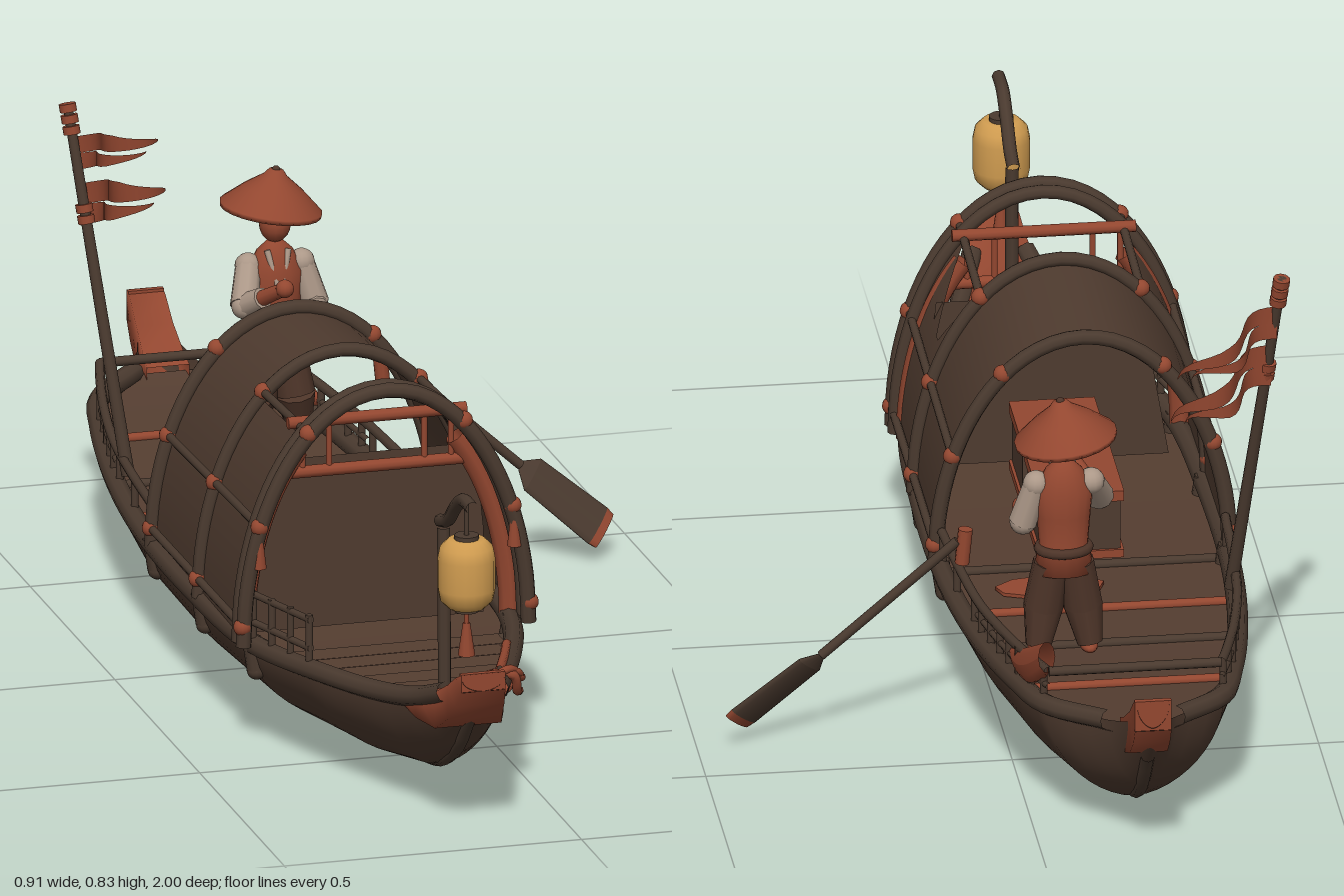
import * as THREE from 'three';

const V = (x, y, z) => new THREE.Vector3(x, y, z);
const mat = (name, color, side = THREE.FrontSide) => {
  const m = new THREE.MeshStandardMaterial({ color, side });
  m.name = name;
  return m;
};

// Hull stations: z, half width, gunwale height, keel height
const STATIONS = [
  [1, .035, .285, .265], [.93, .045, .245, .2], [.85, .07, .215, .115], [.75, .105, .195, .06],
  [.6, .165, .185, .03], [.4, .222, .175, .015], [.1, .24, .175, .002], [-.2, .238, .18, 0],
  [-.45, .215, .19, .01], [-.65, .18, .205, .025], [-.77, .145, .215, .045], [-.86, .058, .225, .1],
  [-.93, .03, .25, .18], [-1, .026, .31, .27]];

function station(z) {
  const i = Math.max(1, STATIONS.findIndex(s => s[0] <= z));
  const a = STATIONS[i - 1], b = STATIONS[i], t = (a[0] - z) / (a[0] - b[0]);
  return a.map((v, k) => v + (b[k] - v) * t);
}

// Surface grid from a point function f(u, v)
function grid(nu, nv, f) {
  const pos = [], idx = [];
  for (let i = 0; i <= nu; i++) for (let j = 0; j <= nv; j++) pos.push(...f(i / nu, j / nv));
  for (let i = 0; i < nu; i++) for (let j = 0; j < nv; j++) {
    const a = i * (nv + 1) + j, b = a + nv + 1;
    idx.push(a, b, a + 1, b, b + 1, a + 1);
  }
  const g = new THREE.BufferGeometry();
  g.setAttribute('position', new THREE.Float32BufferAttribute(pos, 3));
  g.setIndex(idx);
  g.computeVertexNormals();
  return g;
}

export function createModel() {
  const root = new THREE.Group();
  root.name = 'riverBoat';
  const boat = new THREE.Group();
  boat.name = 'boat';
  boat.position.x = -.165;
  root.add(boat);

  const wood = mat('hullWood', 0x4f3b2f, THREE.DoubleSide);
  const plank = mat('deckWood', 0x553e31, THREE.DoubleSide);
  const trim = mat('darkTimber', 0x4a3a2f);
  const red = mat('redLacquer', 0x934730, THREE.DoubleSide);
  const gold = mat('lanternPaper', 0xd09c50);
  const pale = mat('paleCloth', 0xac9888);
  const pants = mat('trouserCloth', 0x4e3529);

  const add = (name, geo, m, p = V(0, 0, 0)) => {
    const mesh = new THREE.Mesh(geo, m);
    mesh.name = name;
    mesh.position.copy(p);
    boat.add(mesh);
    return mesh;
  };
  const box = (name, m, x, y, z, w, h, d) => add(name, new THREE.BoxGeometry(w, h, d), m, V(x, y, z));
  const ball = (name, m, p, r, sx = 1, sy = 1, sz = 1) => {
    const b = add(name, new THREE.SphereGeometry(r, 14, 10), m, p);
    b.scale.set(sx, sy, sz);
    return b;
  };
  const rod = (name, m, a, b, r, r2 = r) => {
    const d = b.clone().sub(a);
    const c = add(name, new THREE.CylinderGeometry(r2, r, d.length(), 10), m, a.clone().add(b).multiplyScalar(.5));
    c.quaternion.setFromUnitVectors(V(0, 1, 0), d.normalize());
    return c;
  };
  const tube = (name, m, pts, r, n = 32) =>
    add(name, new THREE.TubeGeometry(new THREE.CatmullRomCurve3(pts), n, r, 8), m);
  const side = (s, z, dy = 0, k = 1) => { const q = station(z); return V(s * q[1] * k, q[2] + dy, z); };

  // Hull and keel
  add('hull', grid(60, 24, (u, v) => {
    const [z, w, top, low] = station(1 - 2 * u), t = (v - .5) * Math.PI;
    return [w * Math.sin(t), low + (top - low) * (1 - Math.cos(t)) ** .88, z];
  }), wood);
  tube('keel', trim, STATIONS.slice(1, -1).map(q => V(0, q[3] + .01, q[0])), .012, 50);

  // Deck, floor boards and cross beams
  add('deck', grid(40, 1, (u, v) => {
    const [z, w, top] = station(.88 - 1.76 * u);
    return [w * .97 * (2 * v - 1), top - .02, z];
  }), plank);
  for (let z = .72; z > .43; z -= .06) {
    const q = station(z);
    box('floorBoard', plank, 0, q[2] - .012, z, q[1] * 1.8, .014, .05);
  }
  for (const [z, m] of [[.44, trim], [-.12, trim], [-.3, red], [-.45, trim], [-.64, red]]) {
    const q = station(z);
    rod('crossBeam', m, V(-q[1] * .95, q[2] - .017, z), V(q[1] * .95, q[2] - .017, z), .008);
  }
  const rug = add('rug', new THREE.CylinderGeometry(.09, .09, .006, 9), red, V(.065, .166, -.207));
  rug.scale.z = .45;

  // Red end pieces: z, half width, top, bottom
  const endPiece = (name, rows) => add(name, grid(rows.length - 1, 4, (u, v) => {
    const [z, w, t, b] = rows[Math.round(u * (rows.length - 1))];
    const k = Math.round(v * 4) % 4;
    return [k === 0 || k === 3 ? w : -w, k < 2 ? t : b, z];
  }), red);
  endPiece('bowPiece', [[1, .037, .295, .265], [.98, .041, .285, .235], [.95, .046, .264, .205],
    [.91, .056, .24, .178], [.86, .074, .225, .182], [.8, .086, .208, .195]]);
  endPiece('sternPiece', [[-.86, .036, .228, .2], [-.89, .034, .242, .18], [-.94, .031, .274, .2],
    [-.98, .03, .308, .235], [-1, .03, .317, .265]]);
  box('bowFace', red, 0, .28, .994, .074, .03, .01);
  box('sternFace', red, 0, .291, -.994, .06, .052, .01);

  // Gunwales, rails and fenders
  for (const s of [1, -1]) {
    tube('gunwale', trim, STATIONS.slice(1, -2).map(q => V(s * q[1] * .975, q[2], q[0])), .017, 60);
    tube('sternRail', trim, [-.13, -.3, -.45, -.6, -.72, -.77].map(z => side(s, z, .06, .97)), .008);
    tube('sternMidRail', trim, [-.42, -.55, -.68, -.77].map(z => side(s, z, .033, .97)), .005);
    for (let z = -.14; z > -.78; z -= z > -.4 ? .13 : .05)
      rod('railPost', trim, side(s, z, 0, .97), side(s, z, .062, .97), .006);
    for (const z of [.4, .15, -.13]) {
      rod('fender', trim, side(s, z, -.045, .95), side(s, z, .01, .985), .016);
      ball('fenderTip', trim, side(s, z, -.045, .95), .016);
    }
  }
  rod('sternEndRail', trim, side(1, -.77, .06, .97), side(-1, -.77, .06, .97), .008);
  for (const dy of [.04, .088]) rod('bowSideRail', trim, side(-1, .4, dy), side(-1, .58, dy - .004), .006);
  for (const z of [.41, .465, .52, .575]) rod('bowRailPost', trim, side(-1, z), side(-1, z, .092), .006);

  // Cabin arch: rear roof and side panels of the open front bay
  const height = z => .385 + (z + .12) * .055;
  const arch = (t, z, k = 1) => V(.24 * k * Math.cos(t), .18 + height(z) * k * Math.sin(t), z);
  const archPts = (z, k, a, b) => Array.from({ length: 17 }, (_, i) => arch(a + (b - a) * i / 16, z, k));
  add('cabinRoof', grid(6, 32, (u, v) => arch(Math.PI * v, -.11 + .27 * u, .98).toArray()), wood);
  const cutLeft = z => .6 + (z > .24 ? (z - .24) * 2.8 : (.24 - z) * 5.6);
  const cutRight = () => .98;
  for (const [s, cut] of [[1, cutLeft], [-1, cutRight]]) {
    add('cabinSidePanel', grid(16, 12, (u, v) => {
      const z = .16 + .24 * u, p = arch(cut(z) * v, z, .98);
      return [s * p.x, p.y, z];
    }), wood);
    tube('innerArchLeg', red, archPts(.37, .93, 0, .94).map(p => V(s * p.x, p.y, p.z)), .018);
  }
  for (const [z, r] of [[.425, .013], [.395, .012], [.16, .012], [-.115, .013]])
    tube('archRib', trim, archPts(z, 1, 0, Math.PI), r, 40);
  for (const [t, back] of [[.08, -.125], [.5, -.125], [1, .15]]) for (const a of [t, Math.PI - t]) {
    rod('roofBatten', trim, arch(a, back, 1.01), arch(a, .435, 1.01), .007);
    for (const z of [.425, .16, -.115]) ball('lashing', red, arch(a, z, 1.01), .015);
  }

  // Front screen and hanging frame
  const screen = new THREE.Shape([[-.195, .16], [.2, .16], [.2, .3], [.185, .45], [-.135, .45], [-.16, .37]]
    .map(p => new THREE.Vector2(...p)));
  add('cabinScreen', new THREE.ShapeGeometry(screen), wood, V(0, 0, .3));
  for (const y of [.45, .535]) rod('frameBar', red, V(-.15, y, .37), V(.15, y, .37), .01);
  for (const x of [-.125, -.08, .08, .125]) rod('frameSpindle', red, V(x, .45, .37), V(x, .535, .37), .005);
  for (const s of [1, -1]) {
    const p = arch(s > 0 ? .5 : Math.PI - .5, .43, 1.02);
    rod('cabinTassel', red, p.clone().setY(p.y - .07), p, .012, .004);
  }

  // Storage chests inside the cabin
  for (const [z, d] of [[-.01, .17], [.2, .13]]) {
    box('chest', wood, 0, .215, z, .13, .1, d);
    box('chestLid', red, 0, .272, z, .14, .018, d + .01);
    box('chestBase', red, 0, .17, z, .14, .014, d + .01);
  }

  // Lantern on its bent post
  tube('lanternPost', trim, [V(0, .17, .77), V(0, .33, .768), V(0, .47, .765)], .011);
  tube('lanternArm', trim, [V(0, .475, .745), V(0, .49, .79), V(0, .53, .84), V(0, .553, .88), V(0, .555, .935)], .011);
  rod('lanternCord', trim, V(0, .5, .9), V(0, .555, .9), .004);
  const body = [[0, -.058], [.03, -.058], [.043, -.045], [.047, -.025], [.047, .025], [.043, .045], [.03, .058], [0, .058]];
  add('lantern', new THREE.LatheGeometry(body.map(p => new THREE.Vector2(...p)), 20), gold, V(0, .435, .9));
  for (const y of [.375, .495]) add('lanternCap', new THREE.CylinderGeometry(.02, .02, .01, 14), trim, V(0, y, .9));
  rod('lanternTassel', red, V(0, .295, .9), V(0, .35, .9), .014, .006);
  rod('tasselCord', red, V(0, .34, .9), V(0, .375, .9), .004);

  // Mooring rope: loops around the gunwale, a hanging end and a length along the rail
  for (let i = 0; i < 3; i++) {
    const c = add('ropeLoop', new THREE.TorusGeometry(.026, .007, 8, 18), red, V(.1 + i * .006, .198, .765 - i * .014));
    c.rotation.set(.5 + i * .35, .4 - i * .3, i);
  }
  tube('ropeEnd', red, [V(.08, .215, .77), V(.115, .21, .775), V(.125, .18, .76), V(.135, .17, .735)], .008, 14);
  tube('railRope', red, [.74, .7, .65, .58].map(z => side(1, z, .014, .93)), .008, 16);

  // Flag pole and two swallow-tailed pennants
  const foot = V(-.21, .22, -.36), tip = V(-.277, .82, -.485);
  rod('flagPole', trim, foot, tip, .011, .008);
  for (const t of [.69, .72, .93, .96, .99])
    rod('poleBinding', red, foot.clone().lerp(tip, t - .012), foot.clone().lerp(tip, t + .01), .014);
  for (const [t, h] of [[.91, .058], [.785, .072]]) {
    const o = foot.clone().lerp(tip, t);
    for (const k of [0, 1]) add('pennant', grid(16, 2, (u, v) => {
      const inner = -h / 2 - (k ? 1 : -1) * h * .18 * Math.max(0, u - .55);
      const outer = (k ? -h : 0) * (1 - .25 * u);
      const y = inner + (outer - inner) * v * (1 - .85 * Math.max(0, u - .55) / .45);
      const len = k ? .86 : 1, w = .01 * Math.sin(u * 9);
      return [o.x + .175 * u * len + w, o.y + y - .045 * u + .006 * Math.sin(u * 8), o.z - .13 * u * len + w];
    }), red);
  }

  // Oar with a flat blade turned about its shaft
  const oarTop = V(.245, .36, -.43), neck = V(.465, .16, -.41), bladeEnd = V(.6, .042, -.39);
  rod('oarShaft', trim, oarTop, neck, .008);
  const oarPart = (name, m, a, b, r1, r2) => {
    const d = b.clone().sub(a);
    const g = new THREE.CylinderGeometry(r2, r1, d.length(), 14).scale(1, 1, .22).rotateY(-.9);
    add(name, g, m, a.clone().add(b).multiplyScalar(.5)).quaternion.setFromUnitVectors(V(0, 1, 0), d.normalize());
  };
  const bladeNeck = neck.clone().lerp(bladeEnd, .14), bladeTip = neck.clone().lerp(bladeEnd, .92);
  oarPart('oarShoulder', trim, neck, bladeNeck, .01, .034);
  oarPart('oarBlade', trim, bladeNeck, bladeTip, .034, .039);
  oarPart('oarTip', red, bladeTip, bladeEnd, .039, .036);
  rod('oarLock', red, V(.238, .32, -.43), V(.232, .38, -.43), .012);

  // Curved red cover on the stern rail
  add('sternCover', grid(10, 10, (u, v) => {
    const a = v * Math.PI * 2, z = -.6 - .18 * u, r = .008 + .026 * Math.sin(u * 2.3);
    return [.18 - .035 * u + Math.cos(a) * r * .5, .235 + .07 * u * u + Math.sin(a) * r, z];
  }), red);

  // Boatman
  const X = .085, Z = -.53;
  for (const s of [1, -1]) {
    const hip = V(X + s * .02, .36, Z), knee = V(X + s * .032, .28, Z + .008), ankle = V(X + s * .042, .215, Z - .005);
    rod('thigh', pants, knee, hip, .033, .03);
    rod('shin', pants, ankle, knee, .021, .033);
    ball('foot', red, ankle.clone().add(V(0, -.008, .015)), .017, .9, .7, 1.8);
    rod('collar', pale, V(X + s * .003, .468, Z + .034), V(X + s * .018, .53, Z + .018), .005);
  }
  const torso = [[0, 0], [.05, 0], [.04, .05], [.044, .1], [.048, .145], [.03, .18], [.014, .195], [0, .2]];
  const tunic = add('tunic', new THREE.LatheGeometry(torso.map(p => new THREE.Vector2(...p)), 16), red, V(X, .345, Z));
  tunic.scale.z = .75;
  const sash = add('sash', new THREE.TorusGeometry(.04, .009, 8, 18), pants, V(X, .385, Z));
  sash.rotation.x = Math.PI / 2;
  sash.scale.y = .8;
  const arms = [[V(X - .045, .5, Z), V(X - .065, .45, Z + .05), V(X - .02, .5, Z + .13)],
    [V(X + .045, .5, Z), V(X + .065, .43, Z + .01), V(X + .06, .43, Z + .07)]];
  for (const [a, b, c] of arms) {
    const wrist = b.clone().lerp(c, .45);
    rod('upperSleeve', pale, a, b, .021, .024);
    ball('elbow', pale, b, .022);
    ball('shoulder', pale, a, .022);
    rod('sleeveCuff', pale, b, wrist, .02, .018);
    rod('forearm', red, wrist, c, .013, .011);
    ball('hand', red, c, .015);
  }
  ball('head', red, V(X, .57, Z), .029, .9, 1.1, 1);
  const hat = [[0, .062], [.012, .06], [.02, .05], [.05, .028], [.084, -.002], [.083, -.01], [.04, .005], [0, .012]].reverse();
  add('strawHat', new THREE.LatheGeometry(hat.map(p => new THREE.Vector2(...p)), 22), red, V(X, .594, Z - .02)).rotation.z = -.14;
  ball('hatKnob', pants, V(X + .008, .653, Z - .02), .007);

  return root;
}
